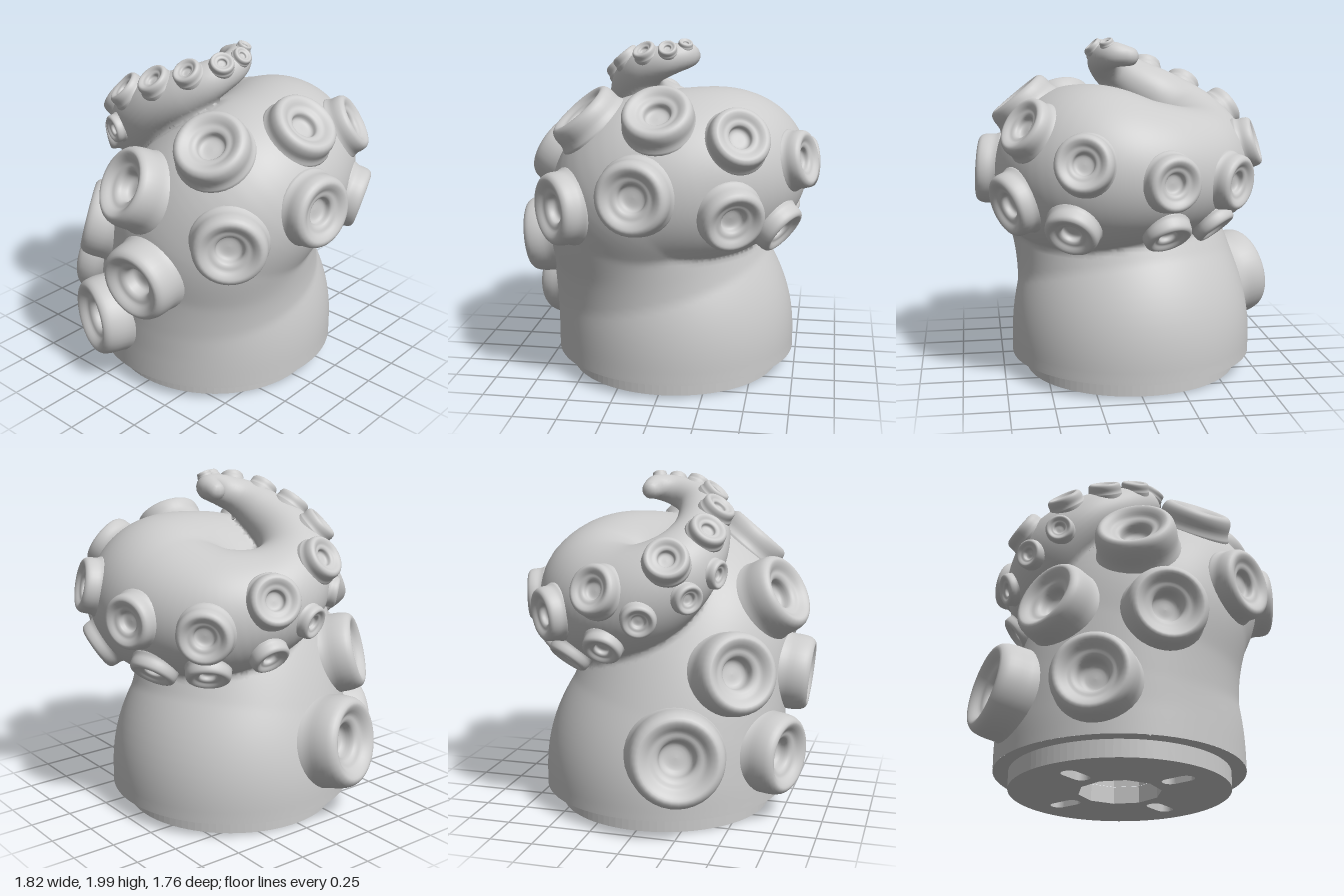
import * as THREE from 'three';

const material = new THREE.MeshStandardMaterial({ color: 0xcccccc });
const flatSided = new THREE.MeshStandardMaterial({ color: 0xcccccc, side: THREE.DoubleSide, flatShading: true });

// Centreline of the arm from foot to tip: x, y, z, radius
const SPINE = [
  [-0.03, 0.1, -0.01, 0.725], [-0.03, 0.27, -0.005, 0.72], [-0.02, 0.47, 0.045, 0.675],
  [0.035, 0.74, 0.1, 0.628], [0.13, 0.98, 0.15, 0.58], [0.25, 1.15, 0.09, 0.535],
  [0.265, 1.21, -0.11, 0.512], [0.19, 1.25, -0.3, 0.475], [0, 1.25, -0.38, 0.41],
  [-0.28, 1.24, -0.28, 0.36], [-0.43, 1.31, -0.04, 0.295], [-0.41, 1.45, 0.16, 0.23],
  [-0.26, 1.59, 0.245, 0.182], [-0.05, 1.72, 0.225, 0.145], [0.08, 1.81, 0.15, 0.112],
  [0.125, 1.865, 0.02, 0.09], [0.08, 1.89, -0.08, 0.075], [-0.01, 1.88, -0.1, 0.055],
];

// Two rows of suckers: x, y, z near the surface, radius
const UPPER_SUCKERS = [
  [-0.78, 0.48, 0.27, 0.275], [-0.54, 0.93, 0.58, 0.24], [-0.04, 1.29, 0.68, 0.235],
  [0.36, 1.57, 0.46, 0.215], [0.65, 1.66, 0, 0.2], [0.64, 1.53, -0.46, 0.175],
  [0.33, 1.35, -0.76, 0.165], [-0.15, 1.24, -0.8, 0.16], [-0.55, 1.2, -0.58, 0.16],
  [-0.76, 1.4, -0.24, 0.15], [-0.68, 1.58, 0.18, 0.13], [-0.42, 1.7, 0.35, 0.11],
  [-0.18, 1.81, 0.36, 0.1], [0.02, 1.88, 0.29, 0.085], [0.16, 1.92, 0.15, 0.07],
  [0.2, 1.95, 0.01, 0.055], [0.13, 1.98, -0.09, 0.042],
];
const LOWER_SUCKERS = [
  [-0.28, 0.4, 0.75, 0.24], [0.11, 0.8, 0.76, 0.23], [0.57, 1.08, 0.55, 0.21],
  [0.8, 1.21, 0.1, 0.21], [0.68, 1.09, -0.41, 0.185], [0.4, 0.95, -0.68, 0.155],
  [-0.15, 0.9, -0.66, 0.14], [-0.45, 0.93, -0.48, 0.13], [-0.65, 1.04, -0.2, 0.115],
  [-0.7, 1.23, 0.03, 0.1], [-0.58, 1.35, 0.25, 0.09], [-0.44, 1.46, 0.38, 0.085],
];

// Balls of changing size strung along the centreline
function sampleSpine(count) {
  const path = new THREE.CatmullRomCurve3(SPINE.map(([x, y, z]) => new THREE.Vector3(x, y, z)));
  const width = new THREE.CatmullRomCurve3(SPINE.map((p) => new THREE.Vector3(p[3], 0, 0)), false, 'catmullrom');
  return Array.from({ length: count + 1 }, (_, i) => ({
    center: path.getPoint(i / count), radius: width.getPoint(i / count).x,
  }));
}

// Distance from a point to the skin around all the balls, negative inside
function skinDistance(samples, x, y, z) {
  let best = Infinity;
  for (const { center, radius } of samples) {
    const dx = x - center.x, dy = y - center.y, dz = z - center.z;
    best = Math.min(best, Math.sqrt(dx * dx + dy * dy + dz * dz) - radius);
  }
  return best;
}

function skinNormal(samples, p, e) {
  const d = (x, y, z) => skinDistance(samples, p.x + x, p.y + y, p.z + z);
  return new THREE.Vector3(d(e, 0, 0) - d(-e, 0, 0), d(0, e, 0) - d(0, -e, 0), d(0, 0, e) - d(0, 0, -e)).normalize();
}

// One joined skin over the balls, meshed on a grid and left open at the foot
function armGeometry(samples) {
  const h = 0.023;
  const size = [80, 86, 80];
  const origin = new THREE.Vector3(-0.92, 0.1 - h / 2, -0.92);
  const step = [1, size[0], size[0] * size[1]];
  const values = new Float32Array(size[0] * size[1] * size[2]);
  const eachNode = (margin, visit) => {
    for (let k = 0; k < size[2] - margin; k++)
      for (let j = 0; j < size[1] - margin; j++)
        for (let i = 0; i < size[0] - margin; i++) visit([i, j, k], i + j * step[1] + k * step[2]);
  };
  eachNode(0, ([i, j, k], n) => {
    values[n] = skinDistance(samples, origin.x + i * h, origin.y + j * h, origin.z + k * h);
  });

  // One vertex in each cell the skin passes through, pulled onto the skin
  const positions = [], normals = [], index = [];
  const vertexOf = new Map();
  eachNode(1, (cell, n) => {
    const sum = new THREE.Vector3();
    let hits = 0;
    for (let axis = 0; axis < 3; axis++) {
      const u = (axis + 1) % 3, v = (axis + 2) % 3;
      for (let c = 0; c < 4; c++) {
        const du = c & 1, dv = c >> 1;
        const start = n + du * step[u] + dv * step[v];
        const a = values[start], b = values[start + step[axis]];
        if (a < 0 === b < 0) continue;
        const p = [...cell];
        p[axis] += a / (a - b);
        p[u] += du;
        p[v] += dv;
        sum.add(new THREE.Vector3(...p));
        hits++;
      }
    }
    if (!hits) return;
    const point = sum.multiplyScalar(h / hits).add(origin);
    point.addScaledVector(skinNormal(samples, point, 0.004), -skinDistance(samples, point.x, point.y, point.z));
    vertexOf.set(n, positions.length / 3);
    positions.push(...point);
    normals.push(...skinNormal(samples, point, 0.03));
  });

  // A quad across each grid edge the skin cuts
  eachNode(1, (cell, n) => {
    for (let axis = 0; axis < 3; axis++) {
      const u = (axis + 1) % 3, v = (axis + 2) % 3;
      const inside = values[n] < 0;
      if (inside === values[n + step[axis]] < 0 || !cell[u] || !cell[v]) continue;
      const [a, b, c, d] = [n - step[u] - step[v], n - step[v], n, n - step[u]].map((m) => vertexOf.get(m));
      if (inside) index.push(a, b, c, a, c, d);
      else index.push(a, c, b, a, d, c);
    }
  });
  const geometry = new THREE.BufferGeometry();
  geometry.setAttribute('position', new THREE.Float32BufferAttribute(positions, 3));
  geometry.setAttribute('normal', new THREE.Float32BufferAttribute(normals, 3));
  geometry.setIndex(index);
  return geometry;
}

// Cup with a slightly flared base, rounded rim, dished face and a pit, for radius 1
function suckerGeometry() {
  const profile = [
    [1.07, -0.2], [1.0, -0.04], [0.99, 0.18], [0.94, 0.35], [0.82, 0.43], [0.69, 0.39],
    [0.57, 0.31], [0.46, 0.28], [0.38, 0.22], [0.34, 0.08], [0.22, 0.02], [0, 0.02],
  ];
  const points = new THREE.SplineCurve(profile.map(([x, y]) => new THREE.Vector2(x, y))).getPoints(33);
  points.forEach((p) => { p.x = Math.max(0, p.x); });
  return new THREE.LatheGeometry([new THREE.Vector2(1.08, -0.5), ...points], 36);
}

// Seat a sucker on the closest part of the arm, facing outwards
function placeSucker(geometry, samples, [x, y, z, size]) {
  const target = new THREE.Vector3(x, y, z);
  const gap = (s) => target.distanceTo(s.center) - s.radius;
  const best = samples.reduce((a, b) => (gap(b) < gap(a) ? b : a));
  const outward = target.clone().sub(best.center).normalize();
  const mesh = new THREE.Mesh(geometry, material);
  mesh.position.copy(best.center).addScaledVector(outward, best.radius);
  mesh.quaternion.setFromUnitVectors(new THREE.Vector3(0, 1, 0), outward);
  // The largest suckers stand taller
  mesh.scale.set(size, size * (size > 0.22 ? 1.35 : 1), size);
  mesh.name = 'sucker';
  return mesh;
}

// Round foot plate with a ten-sided opening and four radial slots
function footGeometry() {
  const shape = new THREE.Shape().absarc(0, 0, 0.637, 0, Math.PI * 2);
  const opening = [];
  for (let i = 0; i < 10; i++) {
    const a = (i / 10) * Math.PI * 2;
    opening.push(new THREE.Vector2(Math.sin(a) * 0.24, Math.cos(a) * 0.24));
  }
  shape.holes.push(new THREE.Path().setFromPoints(opening));
  for (let i = 0; i < 4; i++) {
    const a = Math.PI / 4 + (i * Math.PI) / 2;
    const c = Math.cos(a), s = Math.sin(a);
    const slot = new THREE.Path();
    slot.absarc(c * 0.45, s * 0.45, 0.05, a - Math.PI / 2, a + Math.PI / 2);
    slot.absarc(c * 0.35, s * 0.35, 0.05, a + Math.PI / 2, a + Math.PI * 1.5);
    shape.holes.push(slot);
  }
  const geometry = new THREE.ExtrudeGeometry(shape, { depth: 0.1, bevelEnabled: false, curveSegments: 48 });
  return geometry.rotateX(-Math.PI / 2);
}

export function createModel() {
  const model = new THREE.Group();
  model.name = 'tentacle';
  const add = (name, geometry, mat, y, z = 0) => {
    const mesh = new THREE.Mesh(geometry, mat);
    mesh.name = name;
    mesh.position.set(-0.03, y, z);
    model.add(mesh);
  };

  // Curled arm
  const samples = sampleSpine(160);
  const arm = new THREE.Mesh(armGeometry(samples), material);
  arm.name = 'arm';
  model.add(arm);

  // Sucker rows
  const sucker = suckerGeometry();
  for (const [name, row] of [['upperSuckers', UPPER_SUCKERS], ['lowerSuckers', LOWER_SUCKERS]]) {
    const group = new THREE.Group();
    group.name = name;
    row.forEach((spot) => group.add(placeSucker(sucker, samples, spot)));
    model.add(group);
  }

  // Foot plate, underside of the arm and the pocket inside it
  add('foot', footGeometry(), material, 0, -0.005);
  add('underside', new THREE.RingGeometry(0.235, 0.725, 72).rotateX(Math.PI / 2), material, 0.1, -0.01);
  add('pocketWall', new THREE.CylinderGeometry(0.24, 0.24, 0.3, 10, 1, true), flatSided, 0.25);
  add('pocketTop', new THREE.CircleGeometry(0.24, 10).rotateX(Math.PI / 2), material, 0.4);
  return model;
}
